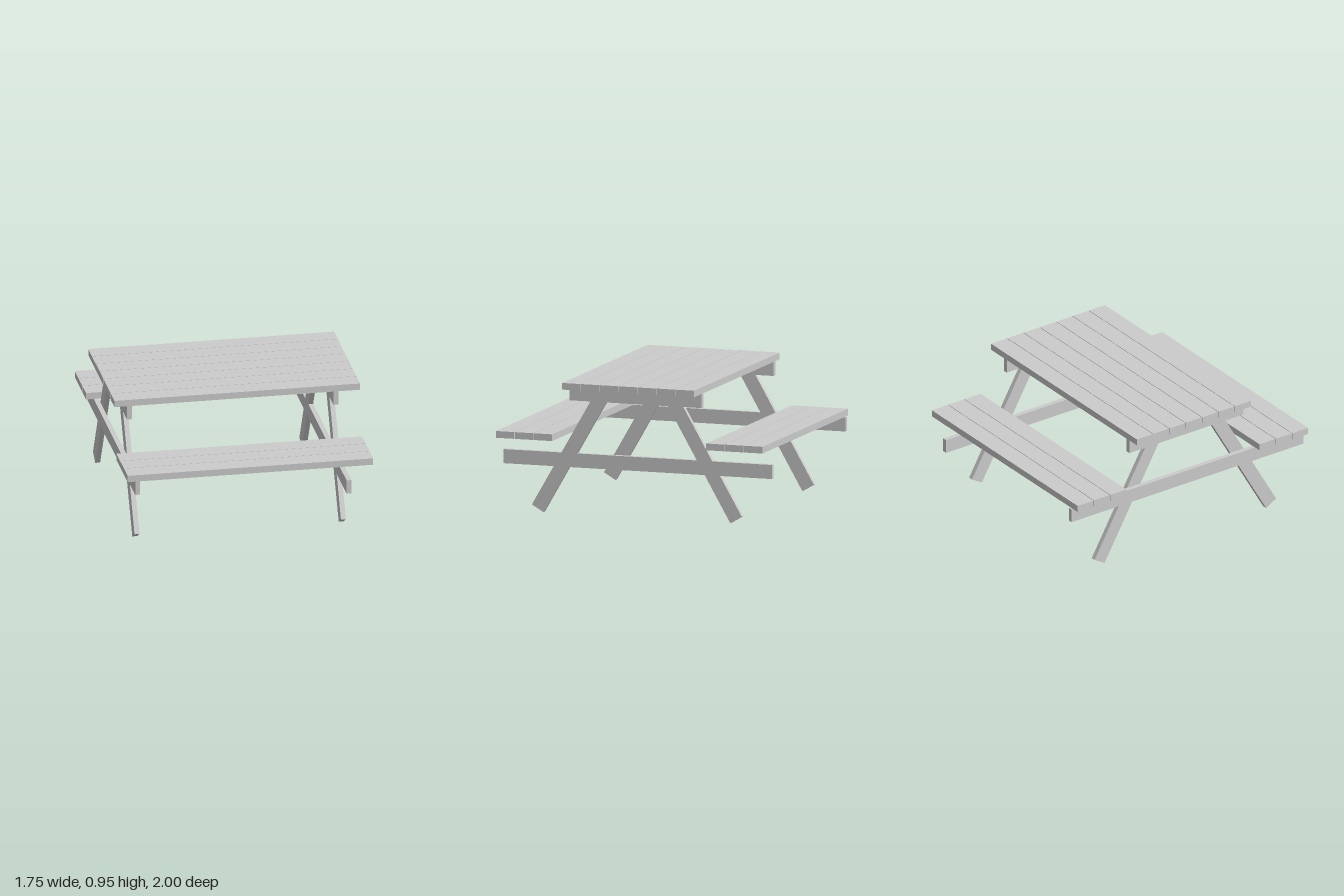
import * as THREE from 'three';

const material = new THREE.MeshStandardMaterial({ color: 0xcccccc, flatShading: true });
const LENGTH = 1.75;      // plank length along x
const PLANK = 0.137;      // plank width
const PITCH = 0.141;      // plank spacing
const TIMBER = 0.035;     // thickness of frame timbers
const LEG_MIDDLE = 0.0055; // z midway between the two legs

function addBox(parent, name, x0, x1, y0, y1, z0, z1) {
  const mesh = new THREE.Mesh(new THREE.BoxGeometry(x1 - x0, y1 - y0, z1 - z0), material);
  mesh.position.set((x0 + x1) / 2, (y0 + y1) / 2, (z0 + z1) / 2);
  mesh.name = name;
  parent.add(mesh);
}

// Row of parallel planks starting at z0
function planks(name, count, z0, y0, y1) {
  const group = new THREE.Group();
  group.name = name;
  for (let i = 0; i < count; i++) {
    const z = z0 + i * PITCH;
    addBox(group, name + 'Plank', -LENGTH / 2, LENGTH / 2, y0, y1, z, z + PLANK);
  }
  return group;
}

// Slanted leg: square-cut foot, top cut level under the table beam
function leg(name, x, side) {
  const profile = [[0.788, 0.05], [0.702, 0], [0.237, 0.805], [0.352, 0.805]];
  const shape = new THREE.Shape(profile.map(([z, y]) =>
    new THREE.Vector2(LEG_MIDDLE + side * (z - LEG_MIDDLE), y)));
  const geometry = new THREE.ExtrudeGeometry(shape, { depth: TIMBER, bevelEnabled: false });
  geometry.translate(0, 0, -TIMBER / 2);
  geometry.rotateY(-Math.PI / 2);
  const mesh = new THREE.Mesh(geometry, material);
  mesh.position.x = x;
  mesh.name = name;
  return mesh;
}

// End frame: two legs, a beam under the top and a long beam carrying the benches
function endFrame(name, x, beamX, beamY) {
  const group = new THREE.Group();
  group.name = name;
  const h = TIMBER / 2;
  group.add(leg('frontLeg', x, 1), leg('backLeg', x, -1));
  addBox(group, 'tableBeam', x - h, x + h, 0.805, 0.905, -0.477, 0.506);
  addBox(group, 'benchBeam', beamX - h, beamX + h, beamY, beamY + 0.1, -1, 1);
  return group;
}

export function createModel() {
  const model = new THREE.Group();
  model.name = 'picnicTable';
  model.add(
    planks('tableTop', 7, -0.477, 0.905, 0.952),
    planks('frontBench', 3, 0.581, 0.535, 0.583),
    planks('backBench', 3, -0.987, 0.535, 0.583),
    // The right bench beam is outside the legs; the left one is lower and in line with them
    endFrame('rightFrame', -0.768, -0.803, 0.435),
    endFrame('leftFrame', 0.703, 0.703, 0.331),
  );
  return model;
}
